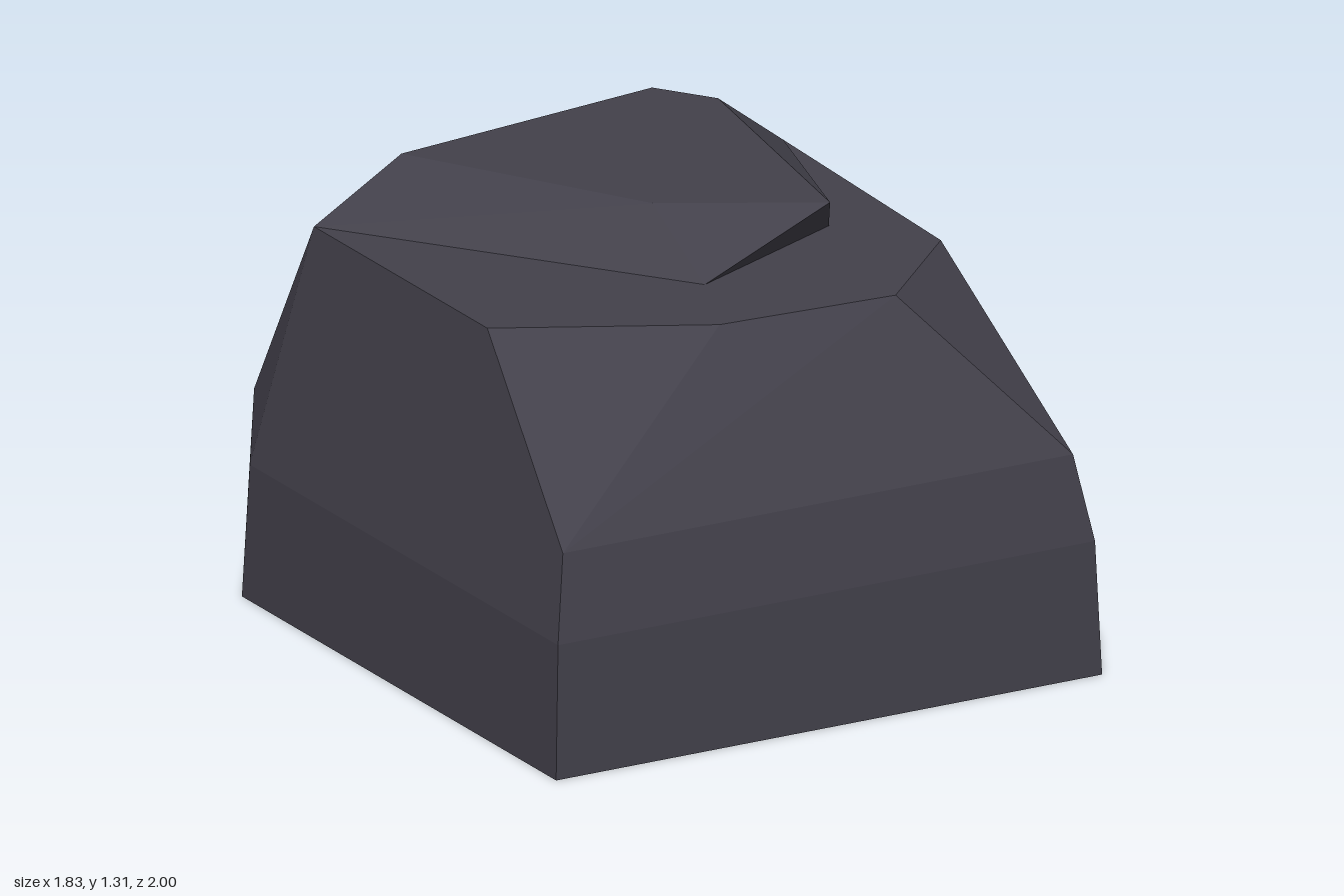
import * as THREE from 'three';
import { ConvexGeometry } from 'three/addons/geometries/ConvexGeometry.js';

const stone = new THREE.MeshStandardMaterial({ color: 0x42404a });
stone.name = 'darkStone';

const LEDGE = 1.16; // height of the flat shelf
const TOP = 1.31;   // height of the raised cap

const v = (x, y, z) => new THREE.Vector3(x, y, z);
const level = (y, outline) => outline.map(([x, z]) => v(x, y, z));
const mirrored = (x, y, z) => [v(-x, y, z), v(x, y, z)];

// A faceted block spanning the given corners
function block(name, corners) {
  const mesh = new THREE.Mesh(new ConvexGeometry(corners), stone);
  mesh.name = name;
  return mesh;
}

export function createModel() {
  const model = new THREE.Group();
  model.name = 'boulder';

  // Main mass: tapering sides, chamfered back corners and sloped front shoulders
  model.add(block('boulderBody', [
    ...mirrored(0.915, 0, 1),
    ...mirrored(0.915, 0, -0.83),
    ...mirrored(0.785, 0.23, -1),
    ...mirrored(0.9, 0.41, 0.985),
    ...mirrored(0.9, 0.41, -0.81),
    ...mirrored(0.785, 0.57, -0.985),
    ...mirrored(0.855, 0.67, 0.935),
    ...level(LEDGE, [
      [-0.76, 0.33], [-0.16, 0.64], [0.41, 0.675], [0.76, 0.33],
      [0.795, -0.65], [0.69, -0.895], [-0.76, -0.68],
    ]),
  ]));

  // Raised cap at the back of the shelf
  model.add(block('boulderCap', [
    ...level(LEDGE, [[-0.76, -0.68], [-0.025, 0.32], [0.54, 0.06], [0.795, -0.65], [0.69, -0.895]]),
    ...level(TOP, [[-0.435, -0.735], [-0.015, 0], [0.435, 0.25], [0.6, -0.69], [0.48, -0.865]]),
  ]));

  return model;
}
